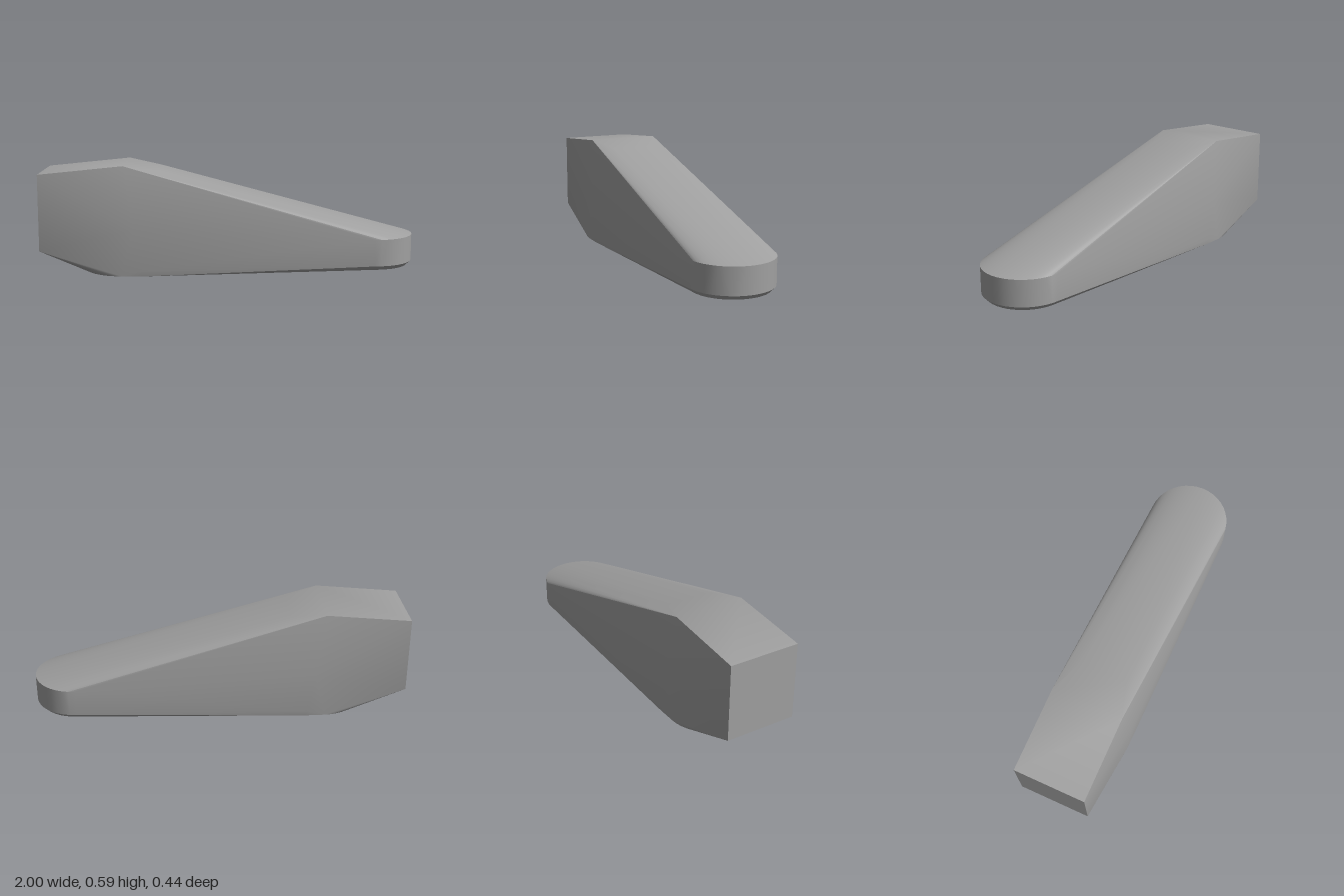
import * as THREE from 'three';
import { ConvexGeometry } from 'three/addons/geometries/ConvexGeometry.js';
import { toCreasedNormals } from 'three/addons/utils/BufferGeometryUtils.js';

const points = [];

// a point and its mirror across the centre plane
function pair(x, y, z) {
  points.push(new THREE.Vector3(x, y, z), new THREE.Vector3(x, y, -z));
}

// half circle lying level, bulging toward +x (dir 1) or -x (dir -1)
function arc(cx, y, rx, rz, dir, steps = 20) {
  for (let i = 0; i <= steps; i++) {
    const a = -Math.PI / 2 + (Math.PI * i) / steps;
    points.push(new THREE.Vector3(cx + dir * rx * Math.cos(a), y, rz * Math.sin(a)));
  }
}

export function createModel() {
  points.length = 0;
  const grey = new THREE.MeshStandardMaterial({ color: 0xa0a0a0 });
  grey.name = 'plain grey';

  // flat rear end
  pair(-1, 0.13, 0.193);
  pair(-1, 0.54, 0.193);
  // top ridge and its softened front
  pair(-0.55, 0.586, 0.193);
  pair(-0.37, 0.555, 0.13);
  // widest points of the sides
  pair(-0.5, 0.25, 0.222);
  pair(-0.46, 0.03, 0.222);
  // rounded nose: upper rim, lower rim and bevelled underside
  arc(0.778, 0.2, 0.222, 0.222, 1);
  arc(0.778, 0.058, 0.222, 0.222, 1);
  arc(0.778, 0.035, 0.2, 0.2, 1);
  // rounded rear of the underside
  arc(-0.56, 0, 0.217, 0.217, -1);
  pair(-0.45, 0, 0.217);

  const body = new THREE.Mesh(toCreasedNormals(new ConvexGeometry(points), 0.55), grey);
  body.name = 'wedgeBody';

  const model = new THREE.Group();
  model.name = 'roundedWedge';
  model.add(body);
  return model;
}
